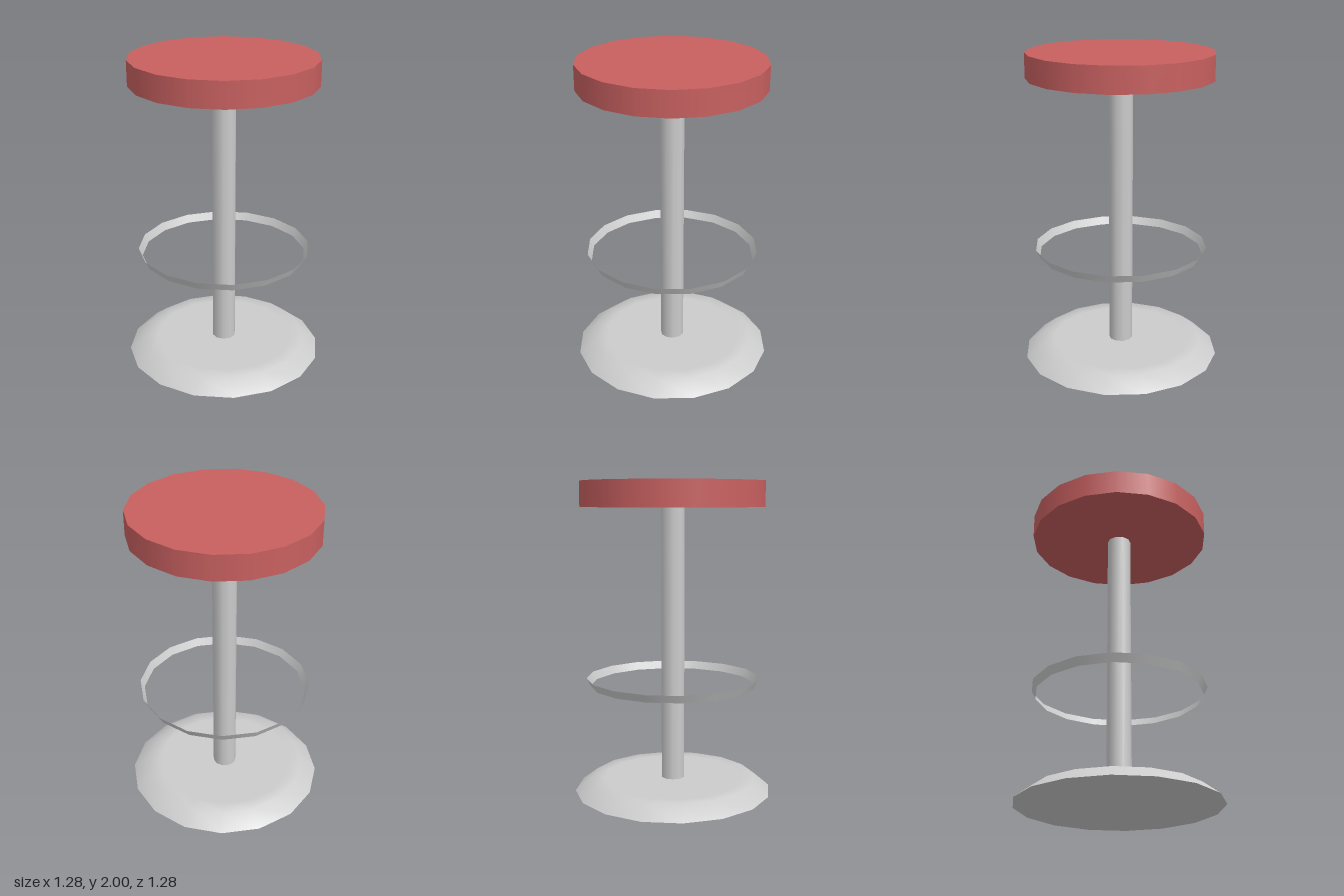
import * as THREE from 'three';

const grey = new THREE.MeshStandardMaterial({ color: 0xcccccc });
const greyThin = new THREE.MeshStandardMaterial({ color: 0xcccccc, side: THREE.DoubleSide });
const red = new THREE.MeshStandardMaterial({ color: 0xc86060 });

export function createModel() {
  const stool = new THREE.Group();
  stool.name = 'barStool';

  const add = (parent, name, geometry, material, y = 0) => {
    const mesh = new THREE.Mesh(geometry, material);
    mesh.name = name;
    mesh.position.y = y;
    parent.add(mesh);
    return mesh;
  };

  // Floor base: softly shaded plate with a sloping rim, closed underneath
  const base = new THREE.Group();
  base.name = 'base';
  const profile = [[0.64, 0], [0.535, 0.08], [0.45, 0.08], [0, 0.08]]
    .map(([r, y]) => new THREE.Vector2(r, y));
  add(base, 'basePlate', new THREE.LatheGeometry(profile, 16), grey);
  add(base, 'baseUnderside', new THREE.CircleGeometry(0.64, 16).rotateX(Math.PI / 2), grey);
  stool.add(base);

  // Column from base to seat
  add(stool, 'column', new THREE.CylinderGeometry(0.077, 0.077, 1.78, 10, 1, true), grey, 0.96);

  // Footrest: thin band flaring upwards
  add(stool, 'footrest', new THREE.CylinderGeometry(0.557, 0.532, 0.05, 16, 1, true), greyThin, 0.725);

  // Padded seat
  add(stool, 'seat', new THREE.CylinderGeometry(0.586, 0.586, 0.16, 18), red, 1.92);

  return stool;
}
